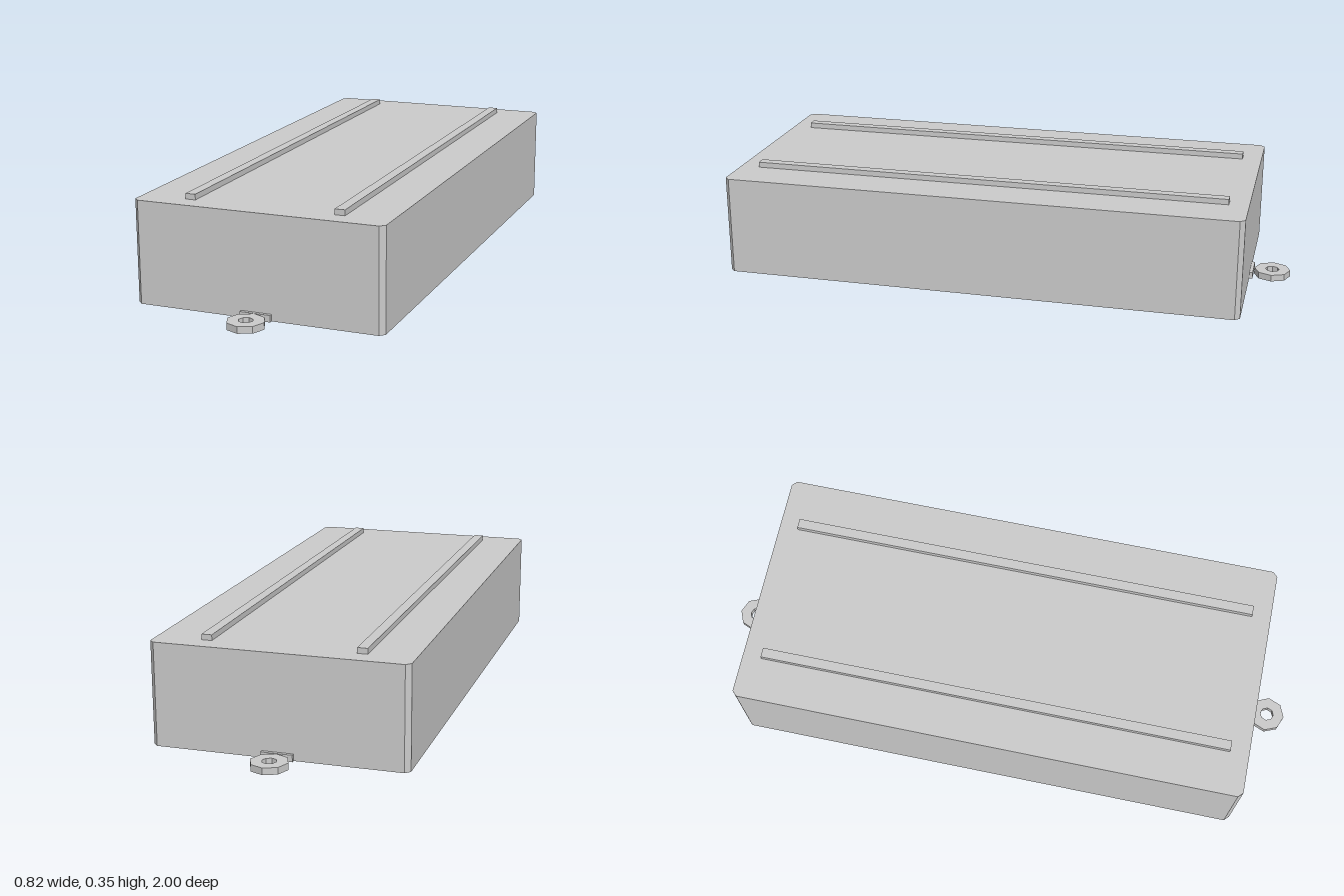
import * as THREE from 'three';

// Extrude an x/z outline upward from y = 0
function extrudeUp(shape, height) {
  const geo = new THREE.ExtrudeGeometry(shape, { depth: height, bevelEnabled: false, curveSegments: 8 });
  return geo.rotateX(-Math.PI / 2);
}

function polygon(PathType, radius, sides) {
  const pts = [];
  for (let i = 0; i < sides; i++) {
    const a = (i / sides) * Math.PI * 2;
    pts.push(new THREE.Vector2(Math.cos(a) * radius, Math.sin(a) * radius));
  }
  const path = new PathType(pts);
  path.closePath();
  return path;
}

export function createModel() {
  const group = new THREE.Group();
  group.name = 'caseWithLugs';
  const grey = new THREE.MeshStandardMaterial({ color: 0xcccccc, flatShading: true });
  grey.name = 'light grey';

  function add(name, geo, x = 0, y = 0, z = 0) {
    const mesh = new THREE.Mesh(geo, grey);
    mesh.name = name;
    mesh.position.set(x, y, z);
    group.add(mesh);
  }

  // Case with chamfered vertical corners
  const w = 0.408, d = 0.867, c = 0.016, h = 0.332;
  const outline = new THREE.Shape([
    [w, -d + c], [w, d - c], [w - c, d], [-w + c, d],
    [-w, d - c], [-w, -d + c], [-w + c, -d], [w - c, -d],
  ].map(([x, y]) => new THREE.Vector2(x, y)));
  add('body', extrudeUp(outline, h));

  // Two long ribs on the lid
  for (const s of [1, -1]) {
    add(s > 0 ? 'leftRail' : 'rightRail', new THREE.BoxGeometry(0.033, 0.018, 1.604), s * 0.245, h + 0.009, 0);
  }

  // Octagonal mounting eyelets with a thin root plate at each end
  const ring = polygon(THREE.Shape, 0.06, 8);
  ring.holes.push(polygon(THREE.Path, 0.023, 8));
  for (const s of [1, -1]) {
    const end = s > 0 ? 'front' : 'back';
    add(end + 'Eyelet', extrudeUp(ring, 0.022), 0, 0, s * 0.94);
    add(end + 'EyeletRoot', new THREE.BoxGeometry(0.1, 0.022, 0.012), 0, 0.011, s * 0.872);
  }
  return group;
}
